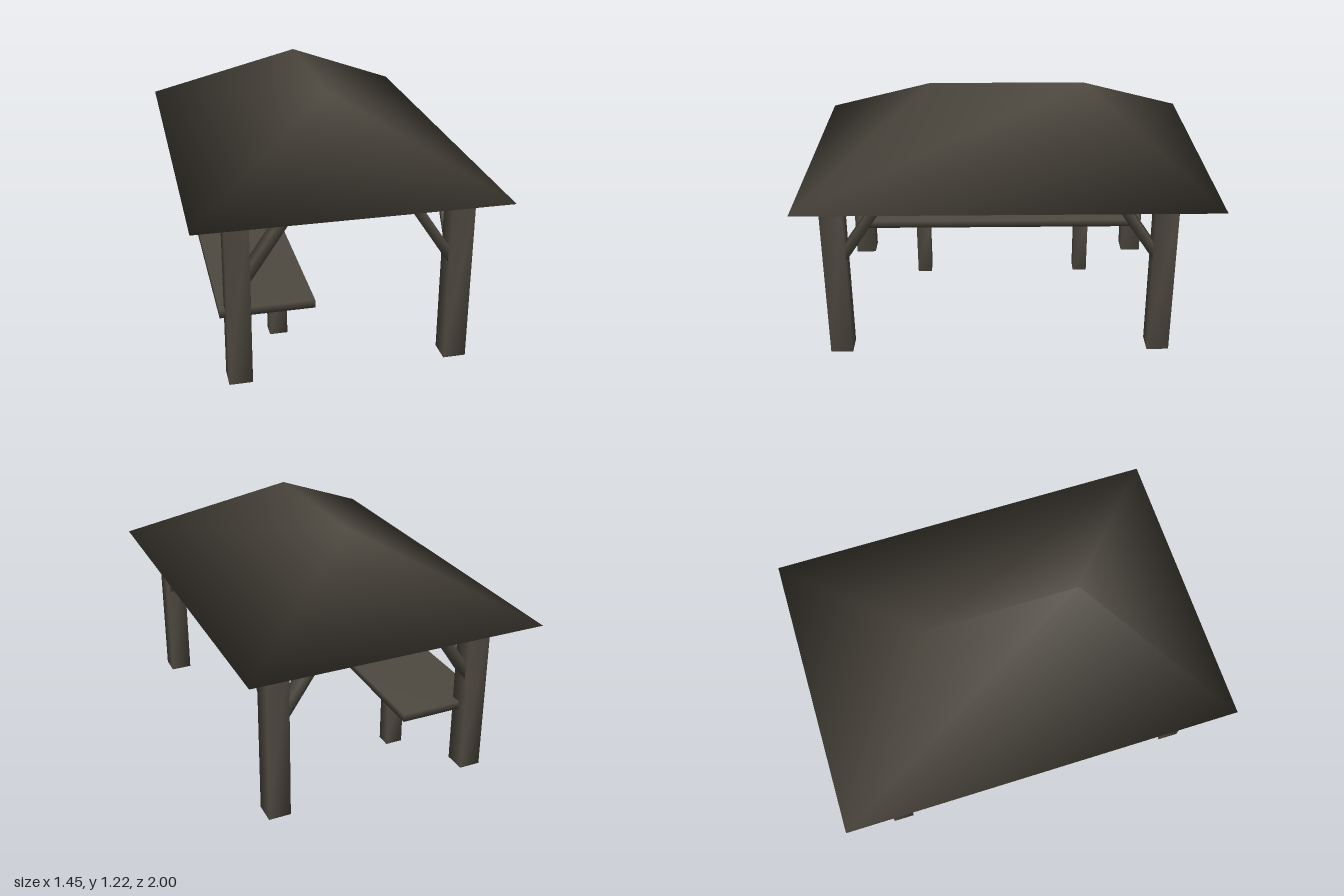
import * as THREE from 'three';
import { mergeVertices } from 'three/addons/utils/BufferGeometryUtils.js';

const wood = new THREE.MeshStandardMaterial({ color: 0x4e4940, side: THREE.DoubleSide });
wood.name = 'dark weathered wood';

// Box with shared corners, so its shading is smooth across the edges
function softBox(w, h, d) {
  const box = new THREE.BoxGeometry(w, h, d);
  box.deleteAttribute('normal');
  box.deleteAttribute('uv');
  const geo = mergeVertices(box);
  geo.computeVertexNormals();
  return geo;
}

function beam(name, size, position) {
  const mesh = new THREE.Mesh(softBox(...size), wood);
  mesh.name = name;
  mesh.position.set(...position);
  return mesh;
}

// Hipped roof with a flat ceiling
function makeRoof() {
  const x = 0.725, z = 1, eave = 0.837, top = 1.22, ridge = 0.387;
  const geo = new THREE.BufferGeometry();
  geo.setAttribute('position', new THREE.Float32BufferAttribute([
    -x, eave, z, x, eave, z, x, eave, -z, -x, eave, -z,
    0, top, ridge, 0, top, -ridge,
  ], 3));
  geo.setIndex([
    0, 1, 4, 2, 3, 5,          // hip ends
    1, 2, 5, 1, 5, 4,          // left slope
    3, 0, 4, 3, 4, 5,          // right slope
    0, 3, 2, 0, 2, 1,          // ceiling
  ]);
  geo.computeVertexNormals();
  const roof = new THREE.Mesh(geo, wood);
  roof.name = 'roof';
  return roof;
}

// Diagonal brace leaning inward from a post along direction (dx, dz)
function makeBrace(px, pz, dx, dz) {
  const at = (d, y) => new THREE.Vector3(px + dx * d, y, pz + dz * d);
  const low = at(0.03, 0.515), high = at(0.265, 0.868);
  const brace = new THREE.Mesh(softBox(0.07, 0.046, low.distanceTo(high)), wood);
  brace.name = 'brace';
  brace.position.copy(low).add(high).multiplyScalar(0.5);
  brace.lookAt(high);
  return brace;
}

export function createModel() {
  const model = new THREE.Group();
  model.name = 'shelter';
  model.add(makeRoof());

  // Four corner posts, each with two braces
  for (const px of [-0.515, 0.525]) {
    for (const pz of [0.835, -0.755]) {
      const corner = new THREE.Group();
      corner.name = 'cornerPost';
      corner.add(
        beam('post', [0.11, 0.833, 0.11], [px, 0.4165, pz]),
        makeBrace(px, pz, -Math.sign(px), 0),
        makeBrace(px, pz, 0, -Math.sign(pz)),
      );
      model.add(corner);
    }
  }

  // Bench between the right-hand posts
  const bench = new THREE.Group();
  bench.name = 'bench';
  bench.add(beam('seat', [0.445, 0.04, 1.58], [-0.373, 0.34, 0.035]));
  for (const z of [0.467, -0.428]) {
    bench.add(beam('benchLeg', [0.088, 0.322, 0.076], [-0.265, 0.161, z]));
  }
  model.add(bench);
  return model;
}
